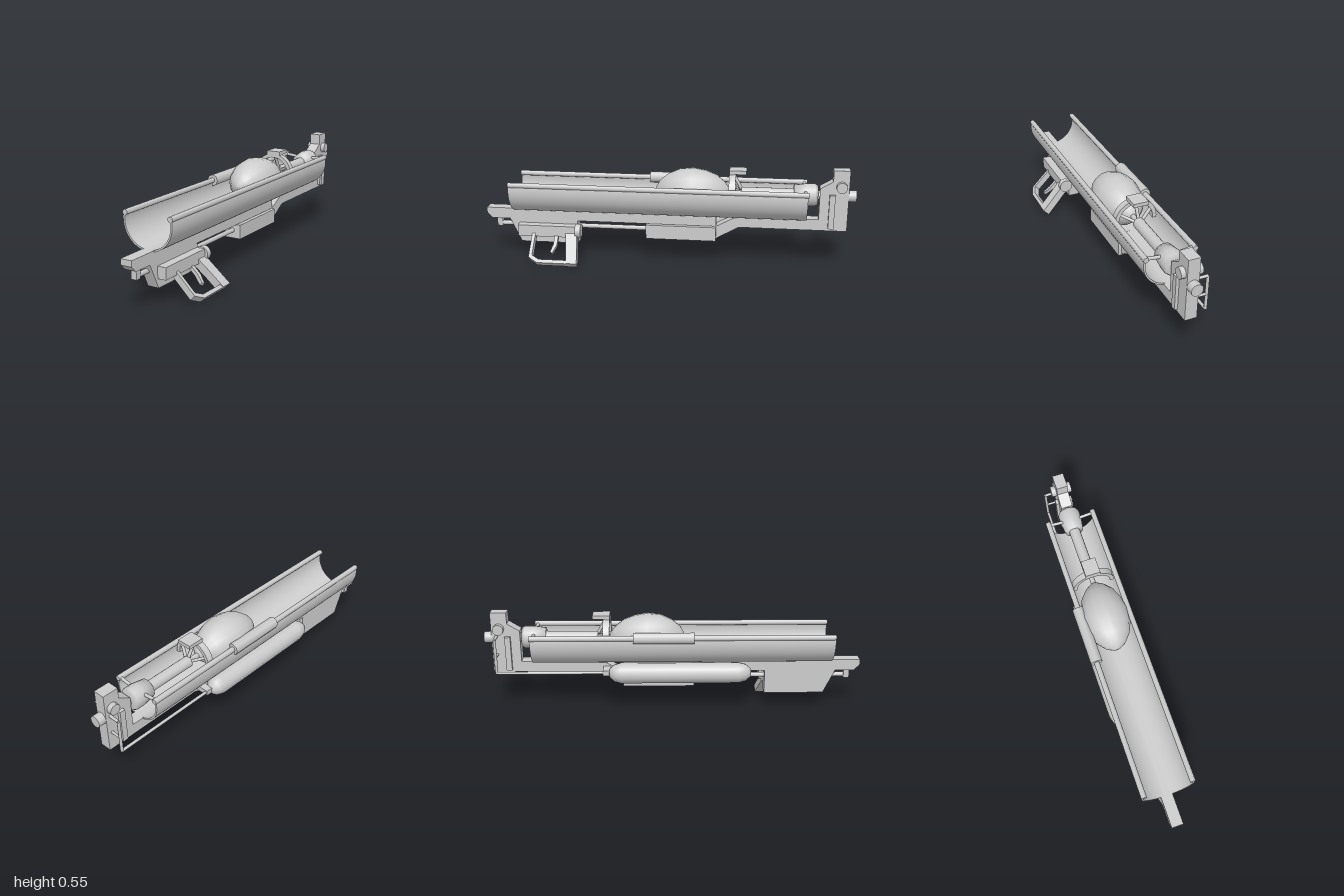
import * as THREE from 'three';
import { toCreasedNormals } from 'three/addons/utils/BufferGeometryUtils.js';

const CX = -0.025; // launcher axis
const CY = 0.408;

export function createModel() {
  const model = new THREE.Group();
  const mat = new THREE.MeshStandardMaterial({ color: 0xcccccc, side: THREE.DoubleSide });

  const add = (name, geo, x = 0, y = 0, z = 0, parent = model) => {
    const mesh = new THREE.Mesh(geo, mat);
    mesh.name = name;
    mesh.position.set(x, y, z);
    parent.add(mesh);
    return mesh;
  };
  // box from its limits
  const box = (name, x0, x1, y0, y1, z0, z1, parent = model) =>
    add(name, new THREE.BoxGeometry(x1 - x0, y1 - y0, z1 - z0),
      (x0 + x1) / 2, (y0 + y1) / 2, (z0 + z1) / 2, parent);
  // side profile of [z, y] points, extruded across x
  const profile = (name, pts, x, width, parent = model) => {
    const shape = new THREE.Shape(pts.map(p => new THREE.Vector2(...p)));
    const geo = new THREE.ExtrudeGeometry(shape, { depth: width, bevelEnabled: false });
    geo.translate(0, 0, -width / 2).rotateY(-Math.PI / 2);
    return add(name, geo, x, 0, 0, parent);
  };
  // round bar between two points
  const bar = (name, a, b, r, sides = 8, parent = model) => {
    const p = new THREE.Vector3(...a), q = new THREE.Vector3(...b);
    const dir = q.clone().sub(p);
    const mesh = add(name, new THREE.CylinderGeometry(r, r, dir.length(), sides), 0, 0, 0, parent);
    mesh.position.copy(p).add(q).multiplyScalar(0.5);
    mesh.quaternion.setFromUnitVectors(new THREE.Vector3(0, 1, 0), dir.normalize());
    return mesh;
  };
  // turned part along z from [radius, z] points
  const turned = (name, pts, x, y, sides) => {
    const geo = new THREE.LatheGeometry(pts.map(p => new THREE.Vector2(...p)), sides);
    return add(name, geo.rotateX(Math.PI / 2), x, y, 0);
  };
  // arc-shaped band extruded along z
  const band = (name, outer, inner, from, to, z0, z1) => {
    const shape = new THREE.Shape();
    shape.absarc(0, 0, outer, from, to, false);
    shape.absarc(0, 0, inner, to, from, true);
    const geo = new THREE.ExtrudeGeometry(shape, { depth: z1 - z0, bevelEnabled: false, curveSegments: 16 });
    return add(name, toCreasedNormals(geo, 0.5), CX, CY, z0);
  };

  // Frame: nose, grip block, beam, strut and rear post
  profile('frontFrame', [
    [1, 0.28], [1, 0.25], [0.97, 0.22], [0.87, 0.22], [0.81, 0.09], [0.49, 0.09],
    [0.49, 0.22], [-0.27, 0.22], [-0.27, 0.28],
  ], CX, 0.062);
  profile('rearFrame', [
    [-0.26, 0.145], [-0.39, 0.22], [-0.96, 0.22], [-0.96, 0.55], [-0.875, 0.55],
    [-0.875, 0.49], [-0.81, 0.45], [-0.81, 0.28], [-0.38, 0.28], [-0.26, 0.215],
  ], CX, 0.062);
  box('lowerHousing', -0.073, 0.022, 0.14, 0.217, -0.27, 0.11);
  box('noseLug', -0.04, -0.01, 0.17, 0.22, 0.92, 0.95);
  bar('slideRod', [CX, 0.184, 0.93], [CX, 0.184, 0.1], 0.013);
  box('postStrip', -0.073, 0.022, 0.235, 0.42, -0.89, -0.86);
  bar('postPin', [-0.082, 0.463, -0.92], [0.03, 0.463, -0.92], 0.029, 12);
  bar('rearKnob', [CX, CY, -0.95], [CX, CY, -1], 0.031, 12);

  // Open trough with its side rails
  const lip = Math.asin(0.032 / 0.134);
  band('trough', 0.138, 0.129, Math.PI - lip, 2 * Math.PI + lip, -0.745, 0.84);
  for (const side of [-1, 1]) {
    const x = CX + side * 0.127;
    bar('rail', [x, 0.44, -0.75], [x, 0.44, 0.84], 0.0145);
    bar('railCrossbar', [CX + side * 0.04, 0.43, -0.735], [x, 0.44, -0.735], 0.009);
  }
  bar('railSleeve', [-0.152, 0.44, -0.21], [-0.152, 0.44, 0.105], 0.031);

  // Projectile
  turned('projectile', [
    [0, -0.34], [0.02, -0.335], [0.055, -0.31], [0.092, -0.265], [0.115, -0.205], [0.126, -0.14],
    [0.118, -0.07], [0.092, -0.01], [0.055, 0.035], [0.02, 0.055], [0, 0.06],
  ], CX, CY, 16);

  // Ram: shaft, tapered collar and holding cradle
  bar('ramShaft', [CX, CY, -0.82], [CX, CY, -0.78], 0.024, 12);
  turned('ramCollar', [
    [0, -0.8], [0.052, -0.8], [0.06, -0.785], [0.06, -0.74], [0.05, -0.675], [0, -0.675],
  ], CX, CY, 14);
  bar('ramRod', [CX, CY, -0.69], [CX, CY, -0.4], 0.03, 12);
  bar('ramTip', [CX, CY, -0.41], [CX, CY, -0.32], 0.014);
  band('cradleArc', 0.113, 0.092, -0.1, Math.PI + 0.1, -0.37, -0.335);
  for (const a of [0.15, 0.5, 0.85]) {
    const c = Math.cos(a * Math.PI), s = Math.sin(a * Math.PI);
    bar('cradleSpoke', [CX + 0.02 * c, CY + 0.02 * s, -0.4],
      [CX + 0.1 * c, CY + 0.1 * s, -0.355], 0.009, 6);
  }
  box('cradleLug', -0.065, 0.015, 0.5, 0.535, -0.36, -0.335);
  box('cradleFlange', -0.065, 0.015, 0.515, 0.535, -0.425, -0.335);

  // Gas bottle with feed pipe running to the post
  turned('gasBottle', [
    [0, -0.345], [0.025, -0.338], [0.045, -0.315], [0.055, -0.28],
    [0.055, 0.34], [0.045, 0.38], [0.025, 0.405], [0, 0.41],
  ], -0.113, 0.233, 14);
  box('bottleBracket', -0.125, -0.05, 0.222, 0.25, -0.375, -0.335);
  const pipe = [[-0.05, 0.42, -0.935], [-0.113, 0.42, -0.935], [-0.113, 0.235, -0.935], [-0.113, 0.235, -0.33]];
  pipe.slice(1).forEach((p, i) => bar('feedPipe', pipe[i], p, 0.008));
  bar('pipeClip', [-0.05, 0.32, -0.935], [-0.113, 0.32, -0.935], 0.007);

  // Receiver on the left side
  box('receiver', 0, 0.053, 0.138, 0.2, 0.48, 0.815);
  bar('gripPivot', [0.033, 0.172, 0.465], [0.033, 0.172, 0.495], 0.037, 16);

  // Pistol grip, trigger and guard, swung out sideways
  const handle = new THREE.Group();
  handle.name = 'handle';
  handle.position.set(0.032, 0.152, 0);
  handle.rotation.z = Math.PI / 4;
  model.add(handle);
  profile('grip', [
    [0.555, 0.02], [0.535, -0.1], [0.525, -0.186], [0.465, -0.186], [0.475, -0.1], [0.49, 0.02],
  ], 0, 0.044, handle);
  profile('triggerGuard', [
    [0.735, 0], [0.735, -0.155], [0.685, -0.186], [0.5, -0.186], [0.5, -0.166],
    [0.677, -0.166], [0.717, -0.142], [0.717, 0],
  ], 0, 0.036, handle);
  profile('trigger', [
    [0.61, 0.02], [0.61, -0.07], [0.622, -0.115], [0.61, -0.125], [0.59, -0.075], [0.59, 0.02],
  ], 0, 0.02, handle);

  return model;
}
